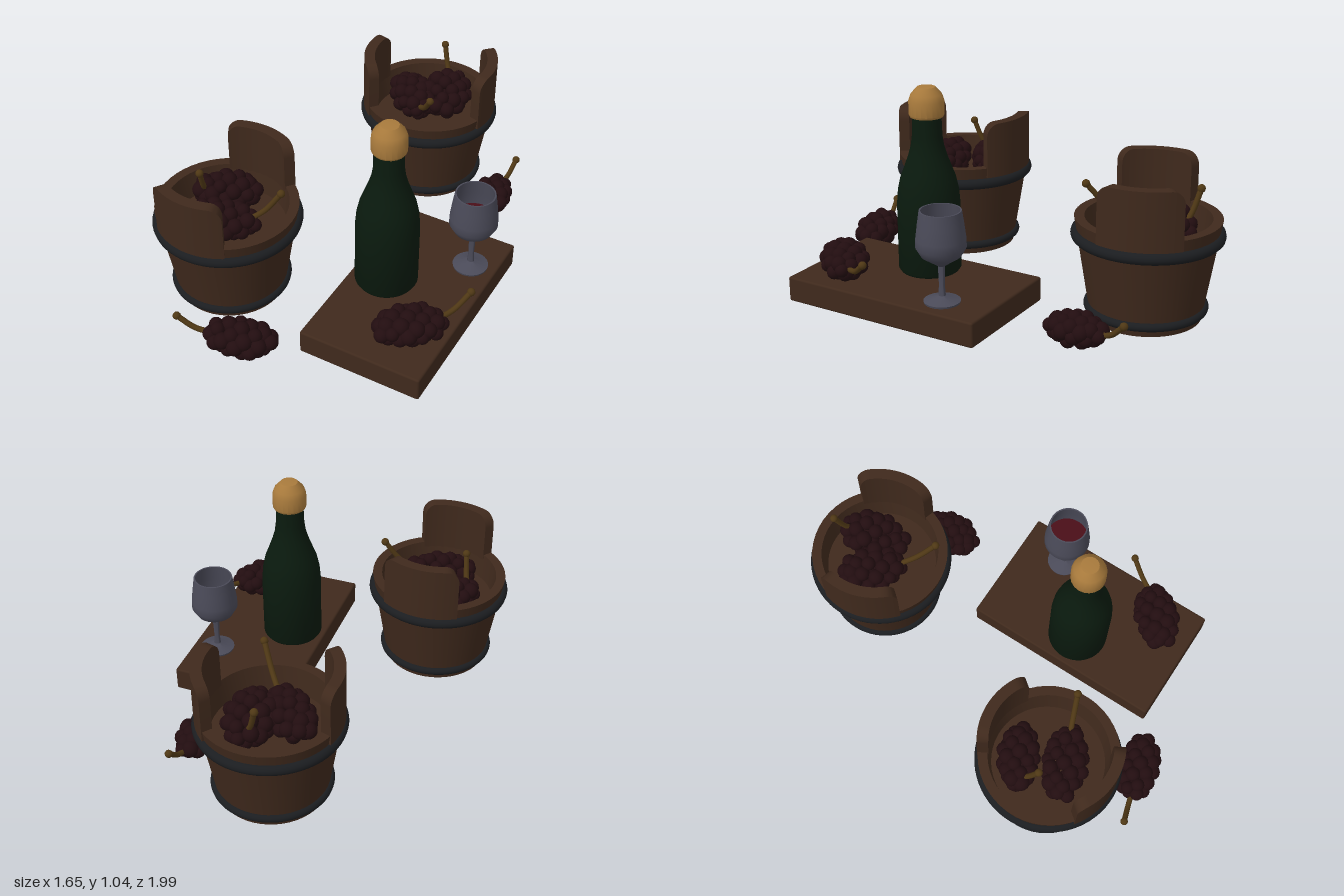
import * as THREE from 'three';
import { mergeGeometries, toCreasedNormals } from 'three/addons/utils/BufferGeometryUtils.js';
import { RoundedBoxGeometry } from 'three/addons/geometries/RoundedBoxGeometry.js';

const mat = (color, side = THREE.FrontSide) => new THREE.MeshStandardMaterial({ color, side });
const wood = mat(0x3f291c), iron = mat(0x1b1d20), grape = mat(0x220d10), stemWood = mat(0x4f3815);
const bottleGlass = mat(0x0a1a0e), cork = mat(0xa87a3c), glass = mat(0x4a4a58, THREE.DoubleSide), wine = mat(0x4a0e18);

function add(parent, name, geometry, material, x = 0, y = 0, z = 0) {
  const mesh = new THREE.Mesh(geometry, material);
  mesh.name = name;
  mesh.position.set(x, y, z);
  parent.add(mesh);
  return mesh;
}

function group(parent, name, x = 0, y = 0, z = 0, yaw = 0) {
  const g = new THREE.Group();
  g.name = name;
  g.position.set(x, y, z);
  g.rotation.y = yaw;
  parent.add(g);
  return g;
}

const lathe = (profile, segments = 48, crease = 0.6) =>
  toCreasedNormals(new THREE.LatheGeometry(profile.map(p => new THREE.Vector2(...p)), segments), crease);

// small seeded generator for the grape jitter
function seeded(seed) {
  return () => (seed = (seed * 16807) % 2147483647) / 2147483647;
}

// raised stave: a box bent around the rim, with rounded top corners
function staveGeometry() {
  const half = 0.6, rIn = 0.283, rOut = 0.336, bottom = 0.46, top = 0.735, corner = 0.065;
  const geo = new THREE.BoxGeometry(1, 1, 1, 32, 1, 1);
  const p = geo.attributes.position;
  for (let i = 0; i < p.count; i++) {
    const a = half * Math.sin(p.getX(i) * Math.PI);
    const r = p.getZ(i) > 0 ? rOut : rIn;
    const d = Math.min(corner, (half - Math.abs(a)) * rOut);
    const h = top - corner + Math.sqrt(Math.max(0, corner ** 2 - (corner - d) ** 2));
    p.setXYZ(i, r * Math.sin(a), p.getY(i) > 0 ? h : bottom, r * Math.cos(a));
  }
  return toCreasedNormals(geo, 0.6);
}

// tapered tub with two hoops and a pair of raised staves
function bucket(parent, name, x, z, yaw) {
  const g = group(parent, name, x, 0, z, yaw);
  add(g, 'tub', lathe([[0, 0.035], [0.255, 0.035], [0.333, 0.51], [0.287, 0.51], [0.27, 0.38], [0, 0.38]]), wood);
  for (const [label, r, tube, y] of [['upperHoop', 0.322, 0.027, 0.43], ['lowerHoop', 0.265, 0.02, 0.085]]) {
    add(g, label, new THREE.TorusGeometry(r, tube, 12, 64), iron, 0, y, 0).rotation.x = Math.PI / 2;
  }
  for (const turn of [0, Math.PI]) add(g, 'raisedStave', staveGeometry(), wood).rotation.y = turn;
}

// ellipsoid cluster of grapes lying along the direction of its stem
function grapeBunch(parent, name, seed, center, size, stemEnd, heading, count = 36) {
  const g = group(parent, name);
  const c = new THREE.Vector3(...center), end = new THREE.Vector3(...stemEnd);
  const dir = new THREE.Vector3(heading[0], 0, heading[1]).normalize();
  const rnd = seeded(seed), balls = [];
  const golden = Math.PI * (3 - Math.sqrt(5));
  for (let i = 0; i < count; i++) {
    const r = 0.032 + 0.009 * rnd();
    const t = 1 - 2 * (i + 0.5) / count;
    const ring = Math.sqrt(1 - t * t), a = i * golden;
    const fill = 0.85 + 0.15 * rnd();
    const ball = new THREE.SphereGeometry(r, 14, 10);
    ball.translate((size[0] - r) * t * fill, (size[1] - r) * ring * Math.sin(a) * fill, (size[2] - r) * ring * Math.cos(a) * fill);
    balls.push(ball);
  }
  const cluster = add(g, 'grapes', mergeGeometries(balls), grape, ...center);
  cluster.rotation.y = Math.atan2(-dir.z, dir.x);

  // curved stem with a knobbed end
  const start = c.clone().addScaledVector(dir, size[0] * 0.55);
  const mid = start.clone().lerp(end, 0.55);
  mid.y -= 0.025;
  const curve = new THREE.CatmullRomCurve3([start, mid, end]);
  add(g, 'stem', new THREE.TubeGeometry(curve, 16, 0.013, 8), stemWood);
  add(g, 'stemKnob', new THREE.SphereGeometry(0.019, 10, 8), stemWood, ...stemEnd);
}

export function createModel() {
  const model = new THREE.Group();
  model.name = 'wineStillLife';

  bucket(model, 'frontBucket', -0.48, 0.42, -0.35);
  bucket(model, 'backBucket', 0.28, -0.648, Math.PI / 2);

  // serving board
  const board = group(model, 'servingBoard', 0.388, 0.095, 0.421, -0.3);
  add(board, 'plank', new RoundedBoxGeometry(0.6, 0.12, 1.015, 2, 0.01), wood);

  // bottle with its cork cap
  const bottle = group(model, 'bottle', 0.263, 0, 0.383);
  add(bottle, 'bottleBody', lathe([[0, 0.155], [0.138, 0.155], [0.148, 0.17], [0.148, 0.48], [0.142, 0.55], [0.129, 0.61],
    [0.11, 0.66], [0.09, 0.715], [0.077, 0.76], [0.07, 0.81], [0.067, 0.91], [0, 0.91]]), bottleGlass);
  add(bottle, 'corkCap', lathe([[0, 0.9], [0.077, 0.9], [0.082, 0.91], [0.082, 0.975], [0.072, 1.005], [0.042, 1.038], [0, 1.042]], 20, 0.5), cork);

  // wine glass
  const cup = group(model, 'wineGlass', 0.635, 0, 0.213);
  add(cup, 'glassBody', lathe([[0, 0.157], [0.082, 0.157], [0.084, 0.166], [0.04, 0.178], [0.017, 0.19], [0.013, 0.24], [0.016, 0.33],
    [0.045, 0.35], [0.09, 0.38], [0.113, 0.42], [0.112, 0.46], [0.103, 0.53], [0.094, 0.59], [0.087, 0.59], [0.097, 0.52],
    [0.106, 0.45], [0.105, 0.42], [0.08, 0.385], [0, 0.36]], 40, 0.8), glass);
  add(cup, 'wine', new THREE.CylinderGeometry(0.104, 0.078, 0.062, 40), wine, 0, 0.419, 0);

  // loose bunches
  grapeBunch(model, 'boardGrapes', 11, [0.44, 0.235, 0.745], [0.19, 0.085, 0.125], [0.68, 0.315, 0.565], [1, -0.45]);
  grapeBunch(model, 'frontGrapes', 23, [-0.315, 0.098, 0.85], [0.19, 0.098, 0.115], [-0.61, 0.165, 0.845], [-1, 0]);
  grapeBunch(model, 'backGrapes', 37, [0.652, 0.1, -0.395], [0.165, 0.085, 0.115], [0.757, 0.18, -0.62], [0.42, -1]);

  // bunches heaped in the buckets
  grapeBunch(model, 'bucketGrapes', 41, [-0.52, 0.47, 0.285], [0.18, 0.1, 0.11], [-0.61, 0.64, 0.4], [-1, 0.2]);
  grapeBunch(model, 'bucketGrapes', 53, [-0.49, 0.47, 0.5], [0.2, 0.1, 0.12], [-0.205, 0.65, 0.475], [1, -0.1]);
  grapeBunch(model, 'bucketGrapes', 67, [0.36, 0.49, -0.7], [0.19, 0.115, 0.14], [0.32, 0.67, -0.88], [0.1, -1]);
  grapeBunch(model, 'bucketGrapes', 79, [0.19, 0.48, -0.66], [0.19, 0.105, 0.12], [0.325, 0.655, -0.37], [0.5, 1]);
  return model;
}
